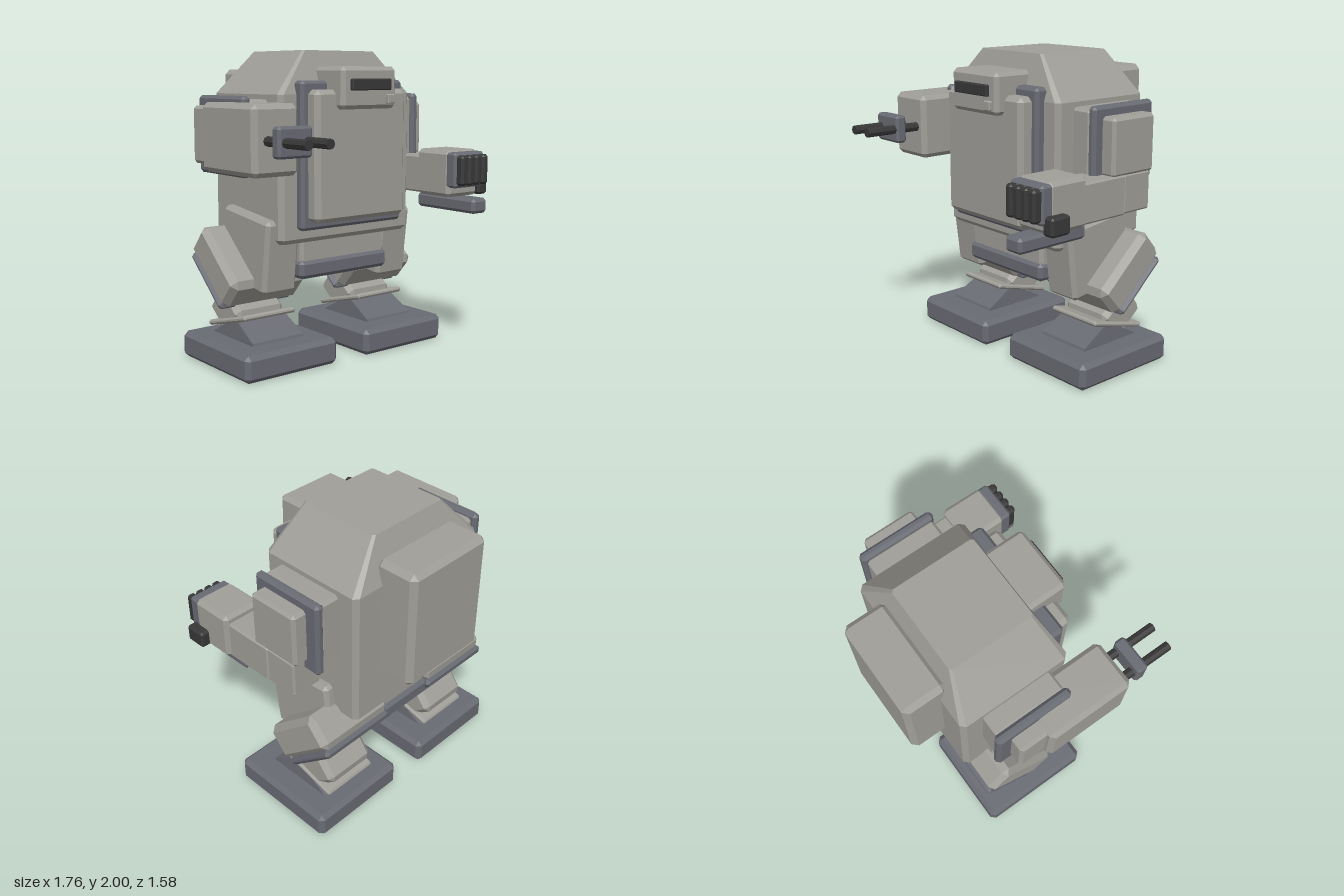
import * as THREE from 'three';
import { ConvexGeometry } from 'three/addons/geometries/ConvexGeometry.js';

const CX = -0.02; // symmetry plane of the torso and legs

export function createModel() {
  const make = (name, color) => {
    const m = new THREE.MeshStandardMaterial({ color });
    m.name = name;
    return m;
  };
  const light = make('light armour', 0xa09e98);
  const dark = make('slate armour', 0x696b73);
  const black = make('black metal', 0x383838);

  const model = new THREE.Group();
  model.name = 'walker';

  const group = (name, parent = model) => {
    const g = new THREE.Group();
    g.name = name;
    parent.add(g);
    return g;
  };
  const hull = (parent, name, mat, points) => {
    const mesh = new THREE.Mesh(new ConvexGeometry(points), mat);
    mesh.name = name;
    parent.add(mesh);
    return mesh;
  };
  // Box with all edges chamfered, given by centre, size and tilt about x
  const block = (parent, name, mat, centre, size, c = 0.02, tilt = 0) => {
    const [a, b, d] = size.map((s) => s / 2);
    const pts = [];
    for (const i of [-1, 1]) for (const j of [-1, 1]) for (const k of [-1, 1]) {
      pts.push(
        new THREE.Vector3(i * a, j * (b - c), k * (d - c)),
        new THREE.Vector3(i * (a - c), j * b, k * (d - c)),
        new THREE.Vector3(i * (a - c), j * (b - c), k * d),
      );
    }
    const mesh = hull(parent, name, mat, pts);
    mesh.position.set(...centre);
    mesh.rotation.x = tilt;
    return mesh;
  };
  // Same box given by its limits on each axis
  const span = (parent, name, mat, x, y, z, c) => block(parent, name, mat,
    [x, y, z].map((r) => (r[0] + r[1]) / 2), [x, y, z].map((r) => r[1] - r[0]), c);

  // Torso: octagonal sections, sloping in above the shoulders
  const torso = group('torso');
  const pts = [];
  const sections = [
    [0.81, 0.505, -0.53, 0.16, 0.02], [0.84, 0.533, -0.56, 0.188, 0.03],
    [1.73, 0.533, -0.56, 0.188, 0.03], [2.0, 0.29, -0.46, 0.1, 0.015],
  ];
  for (const [y, w, z0, z1, c] of sections) {
    for (const s of [-1, 1]) {
      pts.push(new THREE.Vector3(CX + s * w, y, z0 + c), new THREE.Vector3(CX + s * w, y, z1 - c));
      pts.push(new THREE.Vector3(CX + s * (w - c), y, z0), new THREE.Vector3(CX + s * (w - c), y, z1));
    }
  }
  hull(torso, 'hull', light, pts);
  span(torso, 'chestFrame', dark, [-0.43, 0.39], [0.895, 1.815], [0.15, 0.245], 0.02);
  span(torso, 'chestPanel', light, [-0.385, 0.345], [0.945, 1.76], [0.2, 0.335], 0.03);
  span(torso, 'backpack', light, [-0.34, 0.3], [1.1, 1.885], [-0.79, -0.5], 0.035);

  // Sensor head
  const head = group('head');
  span(head, 'headBlock', light, [-0.24, 0.2], [1.64, 1.9], [0.06, 0.4], 0.025);
  span(head, 'visor', black, [-0.18, 0.135], [1.755, 1.825], [0.36, 0.425], 0.006);
  span(head, 'sensor', light, [0.105, 0.165], [1.67, 1.73], [0.36, 0.425], 0.006);

  // Pelvis
  const pelvis = group('pelvis');
  span(pelvis, 'waist', light, [CX - 0.345, CX + 0.345], [0.62, 0.86], [-0.47, 0.145], 0.02);
  span(pelvis, 'skirt', dark, [CX - 0.36, CX + 0.36], [0.57, 0.69], [-0.495, 0.165], 0.025);

  // Legs and shoulders, mirrored about the torso centre
  for (const s of [-1, 1]) {
    const side = s > 0 ? 'left' : 'right';
    const leg = group(side + 'Leg');
    const legX = CX + s * 0.468;
    block(leg, 'thigh', light, [CX + s * 0.467, 0.75, -0.14], [0.256, 0.475, 0.51], 0.025, 0.12);
    block(leg, 'calf', light, [legX, 0.637, -0.263], [0.575, 0.24, 0.525], 0.04, 0.72);
    block(leg, 'calfPlate', dark, [legX, 0.53, -0.358], [0.56, 0.055, 0.46], 0.022, 0.72);
    block(leg, 'shin', light, [legX, 0.33, -0.295], [0.37, 0.245, 0.29], 0.035, 0.68);
    block(leg, 'anklePlate', light, [legX, 0.275, -0.24], [0.4, 0.035, 0.45], 0.012, -0.26);
    const wedge = [];
    for (const e of [-1, 1]) {
      for (const [y, z, w] of [[0.16, 0.07, 0.195], [0.19, 0.06, 0.195], [0.29, -0.12, 0.185],
        [0.29, -0.2, 0.185], [0.16, -0.43, 0.195]]) {
        wedge.push(new THREE.Vector3(legX + e * w, y, z));
      }
    }
    hull(leg, 'ankle', dark, wedge);
    block(leg, 'foot', dark, [legX, 0.0865, -0.155], [0.705, 0.173, 0.78], 0.03);

    const shoulder = group(side + 'Shoulder');
    const at = (a, b) => [CX + s * a, CX + s * b].sort((p, q) => p - q);
    span(shoulder, 'shoulderMount', light, at(0.48, 0.67), [1.24, 1.7], [-0.42, 0.06], 0.02);
    span(shoulder, 'shoulderPlate', dark, at(0.66, 0.722), [1.23, 1.722], [-0.445, 0.075], 0.02);
    span(shoulder, 'shoulderBlock', light, at(0.7, 0.817), [1.3, 1.66], [-0.355, 0.005], 0.02);
  }

  // Left arm with fist
  const fist = group('leftArm');
  span(fist, 'upperArm', light, [0.585, 0.79], [1.065, 1.31], [-0.33, -0.1], 0.012);
  span(fist, 'forearm', light, [0.575, 0.795], [1.06, 1.31], [-0.11, 0.26], 0.012);
  span(fist, 'hand', light, [0.535, 0.82], [1.055, 1.36], [0.235, 0.535], 0.025);
  span(fist, 'knucklePlate', dark, [0.54, 0.815], [1.12, 1.35], [0.5, 0.59], 0.015);
  for (let i = 0; i < 4; i++) {
    block(fist, 'finger', black, [0.583 + i * 0.0645, 1.235, 0.59], [0.056, 0.195, 0.1], 0.015);
  }
  span(fist, 'thumb', black, [0.79, 0.877], [1.06, 1.175], [0.42, 0.567], 0.015);
  span(fist, 'underPlate', dark, [0.61, 0.745], [0.957, 1.055], [0.165, 0.69], 0.02);

  // Right arm with twin gun
  const gun = group('rightArm');
  span(gun, 'gunHousing', light, [-0.885, -0.56], [1.265, 1.685], [-0.175, 0.4], 0.03);
  span(gun, 'barrelClamp', dark, [-0.84, -0.6], [1.385, 1.565], [0.505, 0.58], 0.015);
  for (const x of [-0.79, -0.64]) {
    const barrel = new THREE.Mesh(new THREE.CylinderGeometry(0.03, 0.03, 0.42, 8).toNonIndexed(), black);
    barrel.geometry.computeVertexNormals();
    barrel.name = 'barrel';
    barrel.rotation.x = Math.PI / 2;
    barrel.position.set(x, 1.475, 0.577);
    gun.add(barrel);
  }

  return model;
}
